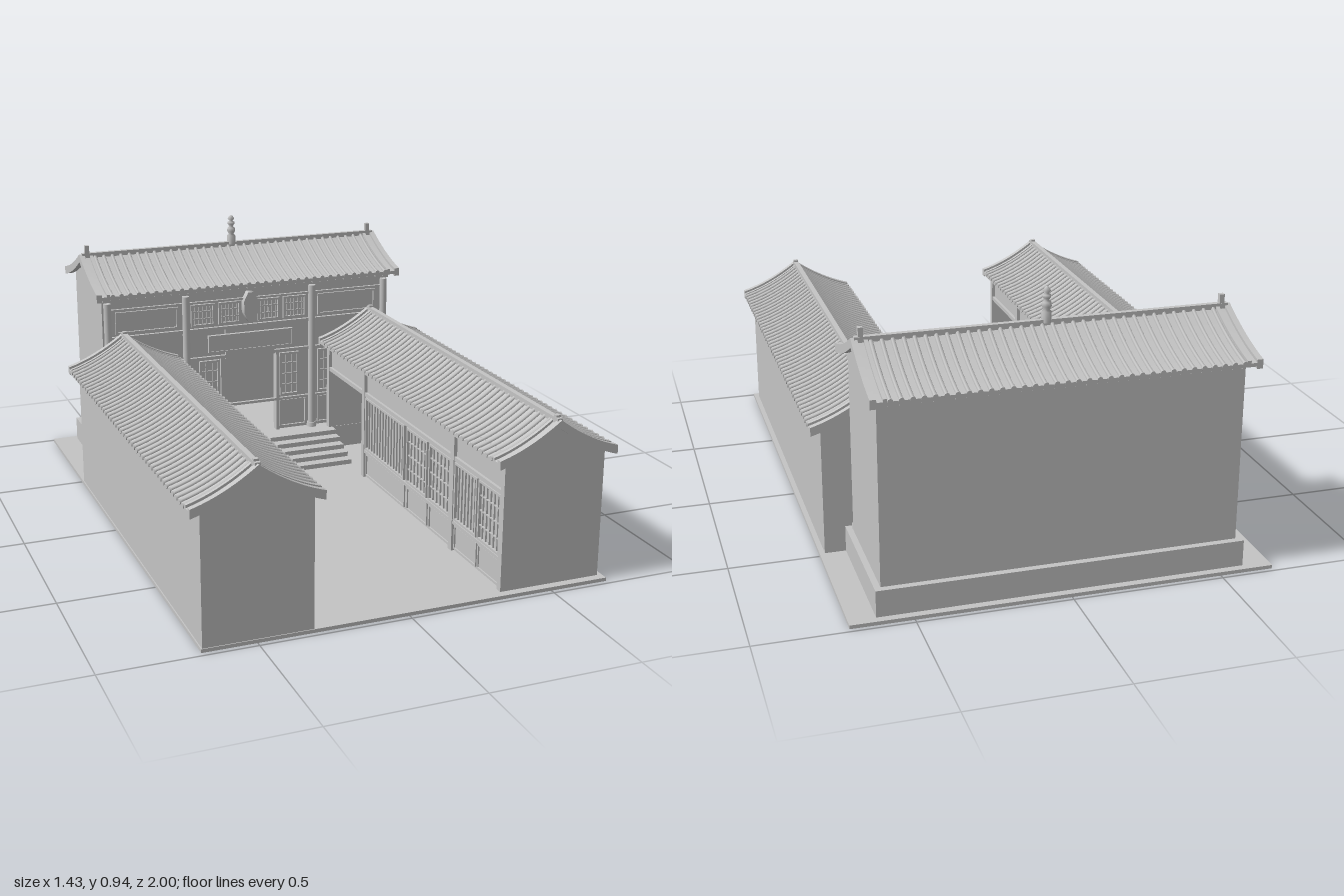
import * as THREE from 'three';
import { mergeGeometries } from 'three/addons/utils/BufferGeometryUtils.js';

const plaster = new THREE.MeshStandardMaterial({ color: 0xc4c4c4 });
plaster.name = 'pale grey';

function add(parent, name, geometries) {
  const list = [].concat(geometries).map(g => (g.index ? g.toNonIndexed() : g));
  const mesh = new THREE.Mesh(mergeGeometries(list), plaster);
  mesh.name = name;
  parent.add(mesh);
  return mesh;
}

// box given by its limits on each axis
function box(x0, x1, y0, y1, z0, z1) {
  return new THREE.BoxGeometry(x1 - x0, y1 - y0, z1 - z0)
    .translate((x0 + x1) / 2, (y0 + y1) / 2, (z0 + z1) / 2);
}

// open rectangular border on a wall at depth z
function border(x0, x1, y0, y1, z, t = 0.008, d = 0.008) {
  return [box(x0, x1, y0, y0 + t, z, z + d), box(x0, x1, y1 - t, y1, z, z + d),
    box(x0, x0 + t, y0, y1, z, z + d), box(x1 - t, x1, y0, y1, z, z + d)];
}

// window: border with a grid of bars
function lattice(x0, x1, y0, y1, z, cols, rows) {
  const out = border(x0, x1, y0, y1, z, 0.008, 0.01);
  for (let i = 1; i < cols; i++) {
    const x = x0 + (x1 - x0) * i / cols;
    out.push(box(x - 0.002, x + 0.002, y0, y1, z, z + 0.006));
  }
  for (let j = 1; j < rows; j++) {
    const y = y0 + (y1 - y0) * j / rows;
    out.push(box(x0, x1, y - 0.002, y + 0.002, z, z + 0.006));
  }
  return out;
}

// concave slope: height at distance s from the ridge line
function slope(r, s) {
  const t = Math.abs(s) / r.half;
  return r.ridge - (r.ridge - r.eave) * (1.45 * t - 0.45 * t * t);
}

// slab following the roof curve, between offsets lo and hi, spanning x0..x1
function roofSlab(r, lo, hi, x0, x1) {
  const pts = [], n = 24;
  for (let i = 0; i <= n; i++) {
    const s = -r.half + 2 * r.half * i / n;
    pts.push(new THREE.Vector2(s, slope(r, s) + lo));
  }
  for (let i = n; i >= 0; i--) {
    const s = -r.half + 2 * r.half * i / n;
    pts.push(new THREE.Vector2(s, slope(r, s) + hi));
  }
  return new THREE.ExtrudeGeometry(new THREE.Shape(pts), { depth: x1 - x0, bevelEnabled: false })
    .rotateY(Math.PI / 2).translate(x0, 0, 0);
}

// tiled roof with the ridge along local x
function addRoof(parent, r) {
  const L = r.length / 2;
  add(parent, 'roofSlab', roofSlab(r, -0.012, 0, -L, L));
  add(parent, 'roofVerges', [-1, 1].flatMap(k => {
    const a = k * L - 0.01, b = k * (L - 0.035) - 0.006;
    return [roofSlab(r, -0.02, 0.01, a, a + 0.02), roofSlab(r, 0, 0.009, b, b + 0.012)];
  }));

  // rows of round tiles, their end discs and the rafter ends
  const tiles = [], rafters = [];
  const count = Math.round((r.length - 0.1) / 0.033);
  for (let i = 0; i <= count; i++) {
    const x = -L + 0.05 + (r.length - 0.1) * i / count;
    for (const side of [-1, 1]) {
      const pts = [];
      for (let j = 0; j <= 6; j++) {
        const s = side * r.half * j / 6;
        pts.push(new THREE.Vector3(x, slope(r, s) + 0.001, s));
      }
      tiles.push(new THREE.TubeGeometry(new THREE.CatmullRomCurve3(pts), 8, 0.007, 6));
      tiles.push(new THREE.CylinderGeometry(0.009, 0.009, 0.006, 8)
        .rotateX(Math.PI / 2).translate(x, r.eave, side * r.half));
      rafters.push(box(x - 0.005, x + 0.005, r.eave - 0.018, r.eave - 0.004,
        side * (r.half - 0.03) - 0.022, side * (r.half - 0.03) + 0.022));
    }
  }
  add(parent, 'roofTiles', tiles);
  add(parent, 'rafterEnds', rafters);
  add(parent, 'ridge', [box(-L, L, r.ridge - 0.01, r.ridge + 0.013, -0.009, 0.009),
    ...[-1, 1].map(k => box(k * (L - 0.02) - 0.008, k * (L - 0.02) + 0.008,
      r.ridge, r.ridge + r.horn, -0.008, 0.008))]);
}

// gable walls and rear wall of a building
function addShell(parent, r, halfLen, depth, y0) {
  const pts = [new THREE.Vector2(-depth, y0), new THREE.Vector2(depth, y0)];
  for (let i = 0; i <= 12; i++) {
    const s = depth - 2 * depth * i / 12;
    pts.push(new THREE.Vector2(s, slope(r, s) - 0.006));
  }
  add(parent, 'gableWalls', [-1, 1].map(k =>
    new THREE.ExtrudeGeometry(new THREE.Shape(pts), { depth: 0.02, bevelEnabled: false })
      .rotateY(Math.PI / 2).translate(k * (halfLen - 0.01) - 0.01, 0, 0)));
  add(parent, 'rearWall', box(-halfLen, halfLen, y0, slope(r, depth) - 0.006, -depth, -depth + 0.02));
}

function makeHall() {
  const g = new THREE.Group();
  g.name = 'mainHall';
  const r = { length: 1.2, half: 0.255, eave: 0.716, ridge: 0.817, horn: 0.042 };
  const z = 0.2, base = 0.1;
  addRoof(g, r);
  addShell(g, r, 0.58, z, base);
  add(g, 'plinth', box(-0.6, 0.6, 0.012, base, -0.222, 0.255));
  // front wall around the open doorway
  add(g, 'frontWall', [box(-0.56, -0.11, base, 0.725, z - 0.02, z),
    box(0.11, 0.56, base, 0.725, z - 0.02, z), box(-0.11, 0.11, 0.417, 0.725, z - 0.02, z)]);
  add(g, 'columns', [-0.562, -0.257, 0.257, 0.562].flatMap(x => [
    new THREE.CylinderGeometry(0.014, 0.014, 0.58, 14).translate(x, 0.39, z + 0.012),
    new THREE.CylinderGeometry(0.018, 0.02, 0.018, 14).translate(x, 0.109, z + 0.012)]));
  add(g, 'beams', [box(-0.58, 0.58, 0.685, 0.705, z, z + 0.02), box(-0.56, 0.56, 0.645, 0.653, z, z + 0.01),
    box(-0.56, 0.56, 0.535, 0.547, z, z + 0.012), box(-0.56, 0.56, 0.42, 0.432, z, z + 0.012),
    box(-0.56, 0.56, 0.222, 0.232, z, z + 0.01)]);
  add(g, 'doorFrame', [box(-0.12, -0.108, base, 0.42, z - 0.02, z + 0.012),
    box(0.108, 0.12, base, 0.42, z - 0.02, z + 0.012)]);
  const windows = [], panels = [];
  for (const k of [-1, 1]) {
    const span = (a, b) => (k > 0 ? [a, b] : [-b, -a]);
    windows.push(...lattice(...span(0.125, 0.205), 0.24, 0.415, z, 3, 4));
    windows.push(...lattice(...span(0.285, 0.395), 0.24, 0.415, z, 4, 4));
    windows.push(...lattice(...span(0.41, 0.52), 0.24, 0.415, z, 4, 4));
    windows.push(...lattice(...span(0.035, 0.125), 0.555, 0.642, z, 6, 3));
    windows.push(...lattice(...span(0.14, 0.235), 0.555, 0.642, z, 6, 3));
    panels.push(...border(...span(0.285, 0.53), 0.555, 0.64, z));
    panels.push(...border(...span(0.125, 0.235), 0.11, 0.22, z, 0.005));
    panels.push(...border(...span(0.285, 0.53), 0.11, 0.22, z, 0.005));
  }
  add(g, 'hallWindows', windows);
  add(g, 'wallPanels', panels);
  // sign board and the oval boss over it
  add(g, 'signBoard', [box(-0.1, 0.1, 0.417, 0.535, z, z + 0.012),
    box(-0.172, 0.172, 0.45, 0.518, z + 0.012, z + 0.022),
    ...border(-0.172, 0.172, 0.45, 0.518, z + 0.022, 0.005, 0.004)]);
  add(g, 'ovalBoss', new THREE.CylinderGeometry(1, 1, 0.03, 8).rotateX(Math.PI / 2)
    .rotateZ(Math.PI / 8).scale(0.031, 0.062, 1).translate(0, 0.62, z + 0.015));
  // ridge finial
  const finial = [[0.016, 0.82], [0.016, 0.855], [0.009, 0.858], [0.016, 0.872], [0.014, 0.885],
    [0.007, 0.89], [0.013, 0.9], [0.013, 0.908], [0.006, 0.912], [0.013, 0.92], [0.006, 0.932], [0, 0.935]];
  add(g, 'finial', new THREE.LatheGeometry(finial.map(p => new THREE.Vector2(...p)), 10));
  // entrance steps
  const steps = [];
  for (let i = 0; i < 5; i++)
    steps.push(box(-0.33, 0.33, 0.012, base - 0.0176 * i, 0.255, 0.295 + 0.04 * i));
  add(g, 'steps', steps);
  g.position.set(0.015, 0, -0.738);
  return g;
}

function makeWing(name) {
  const g = new THREE.Group();
  g.name = name;
  const r = { length: 1.48, half: 0.21, eave: 0.455, ridge: 0.563, horn: 0.02 };
  const z = 0.175, y0 = 0.012, L = 0.73, open = -0.37;
  addRoof(g, r);
  addShell(g, r, L, z, y0);
  // courtyard wall with one open bay
  add(g, 'courtyardWall', [box(open, L, y0, 0.47, z - 0.02, z - 0.006), box(-L, open, 0.34, 0.47, z - 0.02, z - 0.006),
    box(open - 0.02, open, y0, 0.34, -z, z - 0.006)]);
  add(g, 'posts', [-0.718, open, -open, 0.718].map(x => box(x - 0.012, x + 0.012, y0, 0.46, z - 0.02, z + 0.006)));
  add(g, 'rails', [box(-L, L, 0.335, 0.35, z - 0.02, z + 0.004), box(-L, L, 0.435, 0.45, z - 0.02, z + 0.006),
    box(open, L, 0.11, 0.122, z - 0.01, z + 0.004)]);
  // alternating slatted screens and lattice windows
  const bays = [[-0.355, -0.01, 14, 1], [0.01, 0.175, 6, 4], [0.19, 0.355, 6, 4], [0.385, 0.545, 7, 1], [0.555, 0.705, 6, 4]];
  add(g, 'screens', bays.flatMap(([a, b, c, n]) => lattice(a, b, 0.125, 0.332, z - 0.006, c, n)));
  add(g, 'lowerPanels', bays.flatMap(([a, b]) => border(a, b, 0.02, 0.105, z - 0.006, 0.005, 0.005)));
  return g;
}

export function createModel() {
  const model = new THREE.Group();
  model.name = 'courtyardHouse';
  add(model, 'ground', box(-0.677, 0.702, 0, 0.012, -0.985, 0.983));
  model.add(makeHall());
  const right = makeWing('rightWing');
  right.rotation.y = Math.PI / 2;
  right.position.set(-0.498, 0, 0.25);
  const left = makeWing('leftWing');
  left.rotation.y = -Math.PI / 2;
  left.position.set(0.51, 0, 0.225);
  model.add(right, left);
  return model;
}
